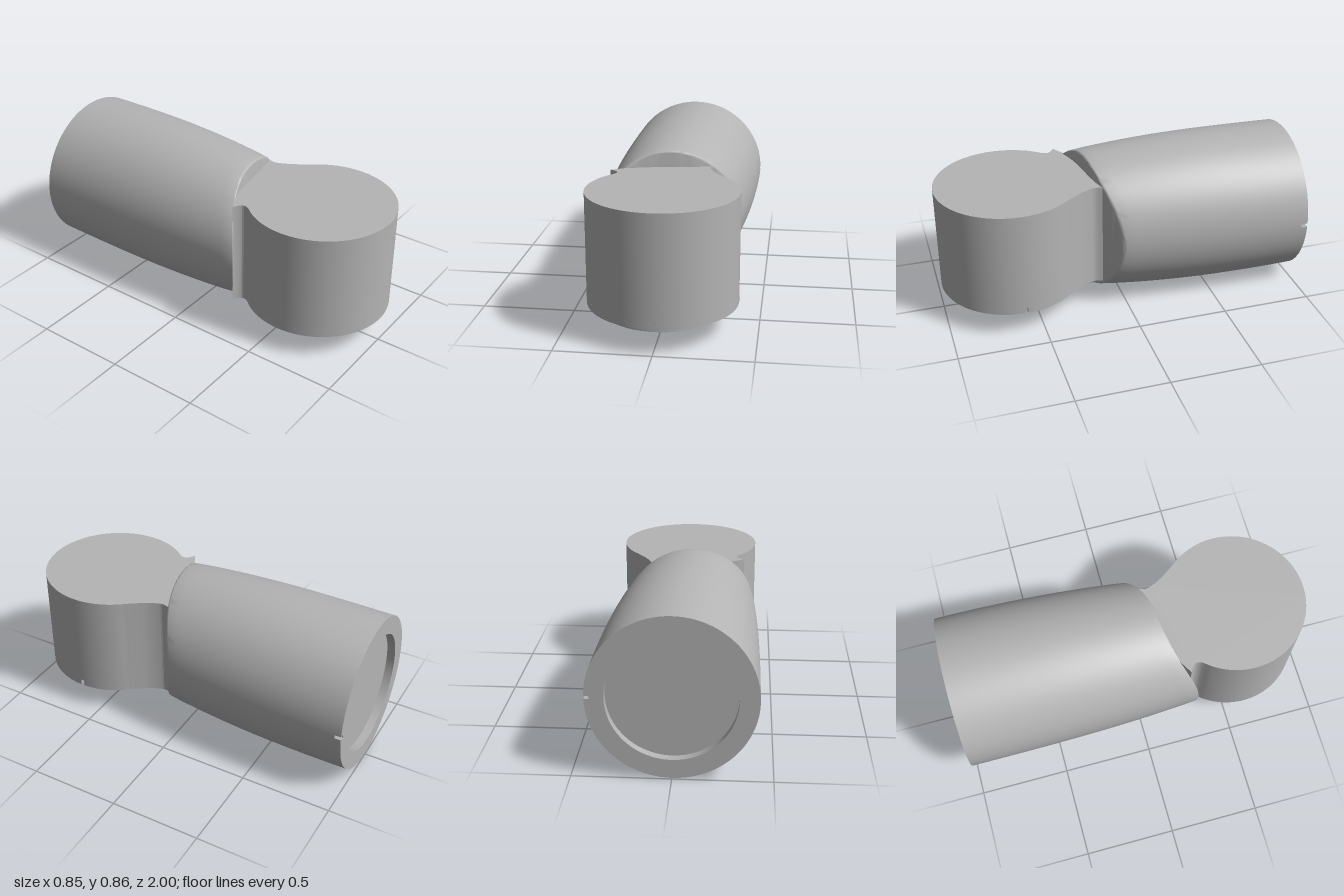
import * as THREE from 'three';
import { toCreasedNormals } from 'three/addons/utils/BufferGeometryUtils.js';

const CY = 0.431;     // height of the sleeve axis
const PZ = 0.605;     // z of the upright pivot axis
const PR = 0.395;     // pivot radius

// Sleeve section at z: it tapers forward, more on the +x side
function section(z) {
  const s = z + 1;
  const right = 0.422 - 0.062 * (s / 1.04) ** 2;
  const left = 0.425 - 0.037 * (s / 1.31) ** 3;
  const ry = 0.431 - (z < -0.55 ? 0.03 : 0.079) * (z + 0.55) ** 2;
  return { cx: (right - left) / 2, rx: (right + left) / 2, ry };
}

// S-shaped cut across the front of the sleeve
const cut = (x) => 0.17 - 0.14 * x - 1.6 * x ** 3;

function pointOn(a, z, inset = 0) {
  const { cx, rx, ry } = section(z);
  return [cx + (rx - inset) * Math.cos(a), CY + (ry - inset) * Math.sin(a), z];
}

function rimZ(a, inset) {
  let z = 0.17;
  for (let i = 0; i < 12; i++) z = cut(pointOn(a, z, inset)[0]);
  return z;
}

function sleeveGeometry() {
  // Angles around the sleeve; the second and third sink in to form the notch
  const n = 96, w = 0.024;
  const angles = [-w, -w, w, w];
  for (let i = 1; i < n; i++) angles.push((i * 2 * Math.PI) / n);
  const notch = (i) => (i === 1 || i === 2 ? 0.025 : 0);

  const rows = [];
  const addRow = (f) => rows.push(angles.map(f));
  const bevel = 0.012;
  // Front face, ruled from the middle line to the rim
  addRow((a) => { const p = pointOn(a, rimZ(a, bevel), bevel); return [p[0], CY, p[2]]; });
  // Rounded rim
  for (let k = 0; k <= 3; k++) {
    const t = (k / 3) * Math.PI / 2;
    const inset = bevel * (1 - Math.sin(t));
    addRow((a) => {
      const p = pointOn(a, rimZ(a, inset), inset);
      return [p[0], p[1], p[2] - bevel * (1 - Math.cos(t))];
    });
  }
  // Outer wall
  const back = -0.965;
  for (let k = 1; k <= 20; k++) {
    addRow((a) => {
      const z0 = rimZ(a, 0) - bevel;
      return pointOn(a, z0 + (back - z0) * (k / 20));
    });
  }
  // Notched back edge, end ring and shallow recess
  addRow((a, i) => pointOn(a, back, notch(i)));
  addRow((a, i) => pointOn(a, -1, notch(i)));
  for (const [r, z] of [[0.325, -1], [0.325, -0.955], [0, -0.955]])
    addRow((a) => [r * Math.cos(a), CY + r * Math.sin(a), z]);

  const pos = [];
  const A = new THREE.Vector3(), B = new THREE.Vector3(), C = new THREE.Vector3();
  const tri = (a, b, c) => {
    A.fromArray(a); B.fromArray(b).sub(A); C.fromArray(c).sub(A);
    if (B.cross(C).length() > 1e-9) pos.push(...a, ...b, ...c);
  };
  const m = angles.length;
  for (let j = 0; j < rows.length - 1; j++) {
    for (let i = 0; i < m; i++) {
      const k = (i + 1) % m;
      tri(rows[j][i], rows[j + 1][i], rows[j][k]);
      tri(rows[j][k], rows[j + 1][i], rows[j + 1][k]);
    }
  }
  const g = new THREE.BufferGeometry();
  g.setAttribute('position', new THREE.Float32BufferAttribute(pos, 3));
  return toCreasedNormals(g, 0.6);
}

// Plan outline of the pivot and its neck (shape y is -z)
function pivotOutline(notched) {
  const v = (x, z) => new THREE.Vector2(x, -z);
  const start = Math.atan2(PZ - 0.37, -0.317);
  const end = Math.atan2(PZ - 0.345, 0.297) + 2 * Math.PI;
  const s = new THREE.Shape();
  if (notched) {
    const d = 0.025;
    s.absarc(0, -PZ, PR, start, 2 * Math.PI - d, false);
    s.lineTo(PR - 0.025, -PZ - 0.01);
    s.lineTo(PR - 0.025, -PZ + 0.01);
    s.absarc(0, -PZ, PR, 2 * Math.PI + d, end, false);
  } else {
    s.absarc(0, -PZ, PR, start, end, false);
  }
  s.splineThru([v(0.237, 0.257), v(0.207, 0.195), v(0.2, 0.16), v(0.212, 0.115)]);
  s.lineTo(0.1, -0.12);
  s.lineTo(-0.05, -0.15);
  s.lineTo(-0.2, -0.19);
  s.lineTo(-0.33, -0.268);
  s.splineThru([v(-0.305, 0.284), v(-0.287, 0.305), v(-0.291, 0.335), v(-0.317, 0.37)]);
  return s;
}

function pivotLayer(y0, y1, notched) {
  const g = new THREE.ExtrudeGeometry(pivotOutline(notched), {
    depth: y1 - y0, bevelEnabled: false, curveSegments: 48,
  });
  g.rotateX(-Math.PI / 2);
  g.translate(0, y0, 0);
  return toCreasedNormals(g, 0.6);
}

export function createModel() {
  const group = new THREE.Group();
  group.name = 'elbowJoint';
  const grey = new THREE.MeshStandardMaterial({ color: 0xb4b4b4 });
  grey.name = 'grey';
  const add = (name, geometry) => {
    const mesh = new THREE.Mesh(geometry, grey);
    mesh.name = name;
    group.add(mesh);
    return mesh;
  };

  add('sleeve', sleeveGeometry());
  add('pivotBase', pivotLayer(0.14, 0.175, true));
  add('pivotBody', pivotLayer(0.175, 0.73, false));
  // Round spigot under the pivot
  add('spigot', new THREE.CylinderGeometry(0.325, 0.325, 0.05, 96)).position.set(0, 0.122, PZ);
  return group;
}
